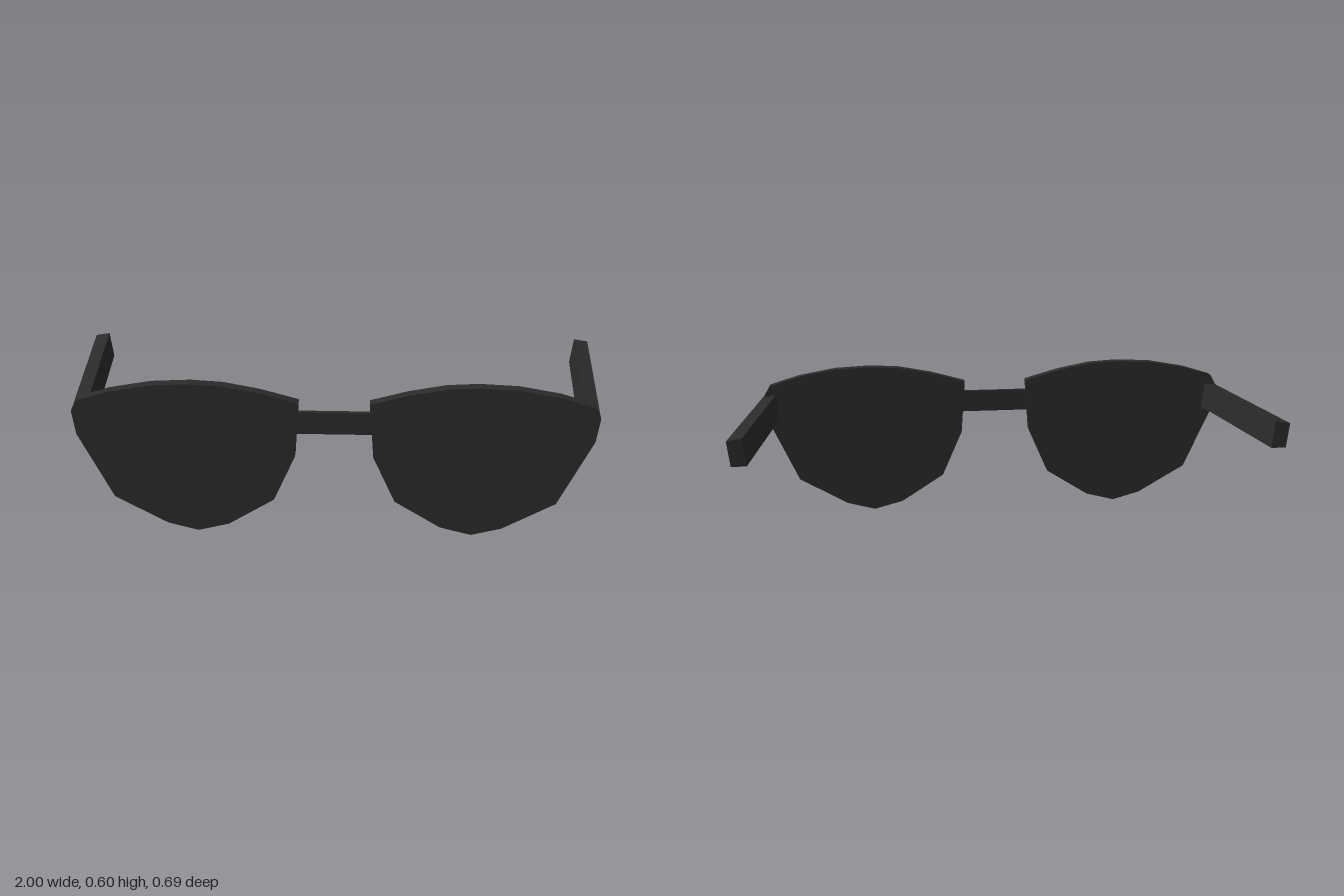
import * as THREE from 'three';

const material = new THREE.MeshStandardMaterial({ color: 0x2b2b2b, flatShading: true });
const BACK = 0.308, FRONT = 0.346;

// Outline of the lens on the +x side, clockwise from the inner top corner
const OUTLINE = [
  [0.125, 0.53], [0.26, 0.568], [0.39, 0.593], [0.505, 0.6], [0.645, 0.593],
  [0.79, 0.567], [0.905, 0.532], [0.93, 0.488], [0.92, 0.397], [0.805, 0.14],
  [0.615, 0.03], [0.505, 0], [0.39, 0.03], [0.22, 0.138], [0.14, 0.32],
];

function add(group, name, geometry) {
  const mesh = new THREE.Mesh(geometry, material);
  mesh.name = name;
  group.add(mesh);
  return mesh;
}

// Flat slab cut to the lens outline
function lensGeometry(side) {
  const shape = new THREE.Shape(OUTLINE.map(([x, y]) => new THREE.Vector2(side * x, y)));
  return new THREE.ExtrudeGeometry(shape, { depth: FRONT - BACK, bevelEnabled: false })
    .translate(0, 0, BACK);
}

// Bar that splays outward to the back, leans slightly and is mitred at the lens
function templeGeometry(side) {
  const geometry = new THREE.BoxGeometry(1, 1, 1);
  const p = geometry.attributes.position;
  for (let i = 0; i < p.count; i++) {
    const outer = p.getX(i) * side > 0, top = p.getY(i) > 0, front = p.getZ(i) > 0;
    const x = (front ? (outer ? 0.93 : 0.882) : (outer ? 1 : 0.946)) - (top ? 0 : 0.01);
    const y = top ? (outer ? 0.488 : 0.497) : 0.397;
    const z = front ? (outer ? FRONT : BACK) : -FRONT;
    p.setXYZ(i, side * x, y, z);
  }
  geometry.computeVertexNormals();
  return geometry;
}

export function createModel() {
  const group = new THREE.Group();
  group.name = 'sunglasses';
  for (const [label, side] of [['left', 1], ['right', -1]]) {
    add(group, label + 'Lens', lensGeometry(side));
    add(group, label + 'Temple', templeGeometry(side));
  }
  // Thin strip joining the lenses
  add(group, 'bridge', new THREE.BoxGeometry(0.27, 0.085, 0.016)).position.set(0, 0.447, 0.324);
  return group;
}
